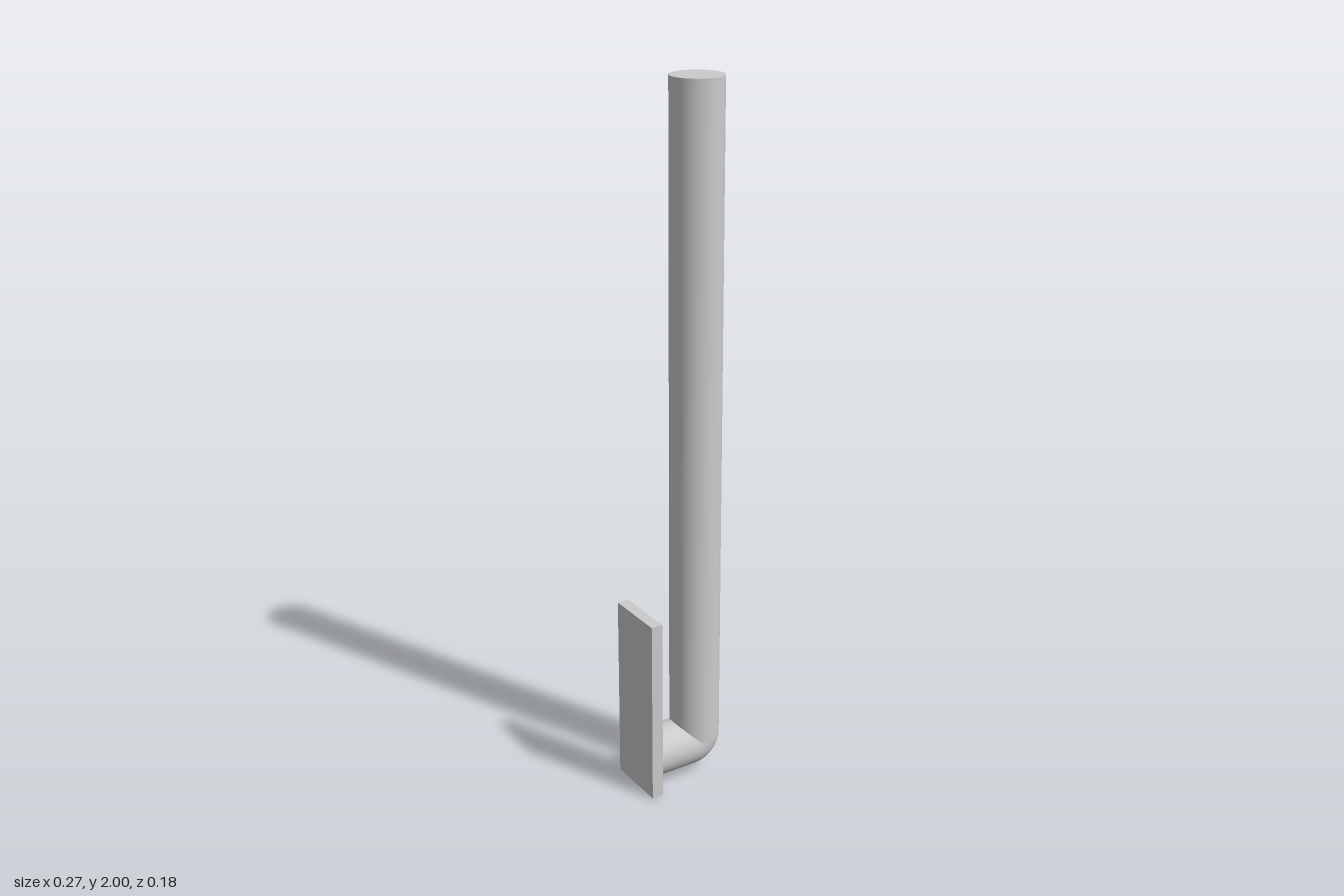
import * as THREE from 'three';

const RADIUS = 0.072;   // pipe radius
const BEND = 0.027;     // centreline radius of the elbow
const POST_X = 0.063;   // axis of the upright pipe
const ARM_Y = 0.092;    // axis of the short arm
const PLATE = { left: -0.135, right: -0.101, height: 0.545, depth: 0.18 };
const SIDES = 48;

export function createModel() {
  const group = new THREE.Group();
  const material = new THREE.MeshStandardMaterial({ color: 0xcccccc });

  function add(name, geometry, x, y) {
    const mesh = new THREE.Mesh(geometry, material);
    mesh.name = name;
    mesh.position.set(x, y, 0);
    group.add(mesh);
    return mesh;
  }

  const bendX = POST_X - BEND;
  const bendY = ARM_Y + BEND;

  // Flat mounting plate
  add('mountingPlate',
    new THREE.BoxGeometry(PLATE.right - PLATE.left, PLATE.height, PLATE.depth),
    (PLATE.left + PLATE.right) / 2, PLATE.height / 2);

  // Short arm from the plate to the elbow
  const armLength = bendX - PLATE.right;
  add('arm', new THREE.CylinderGeometry(RADIUS, RADIUS, armLength, SIDES),
    PLATE.right + armLength / 2, ARM_Y).rotation.z = -Math.PI / 2;

  // Tight quarter-turn elbow
  add('elbow', new THREE.TorusGeometry(BEND, RADIUS, SIDES, 16, Math.PI / 2),
    bendX, bendY).rotation.z = -Math.PI / 2;

  // Tall upright pipe with a flat top
  const postLength = 2 - bendY;
  add('uprightPipe', new THREE.CylinderGeometry(RADIUS, RADIUS, postLength, SIDES),
    POST_X, bendY + postLength / 2);

  return group;
}
